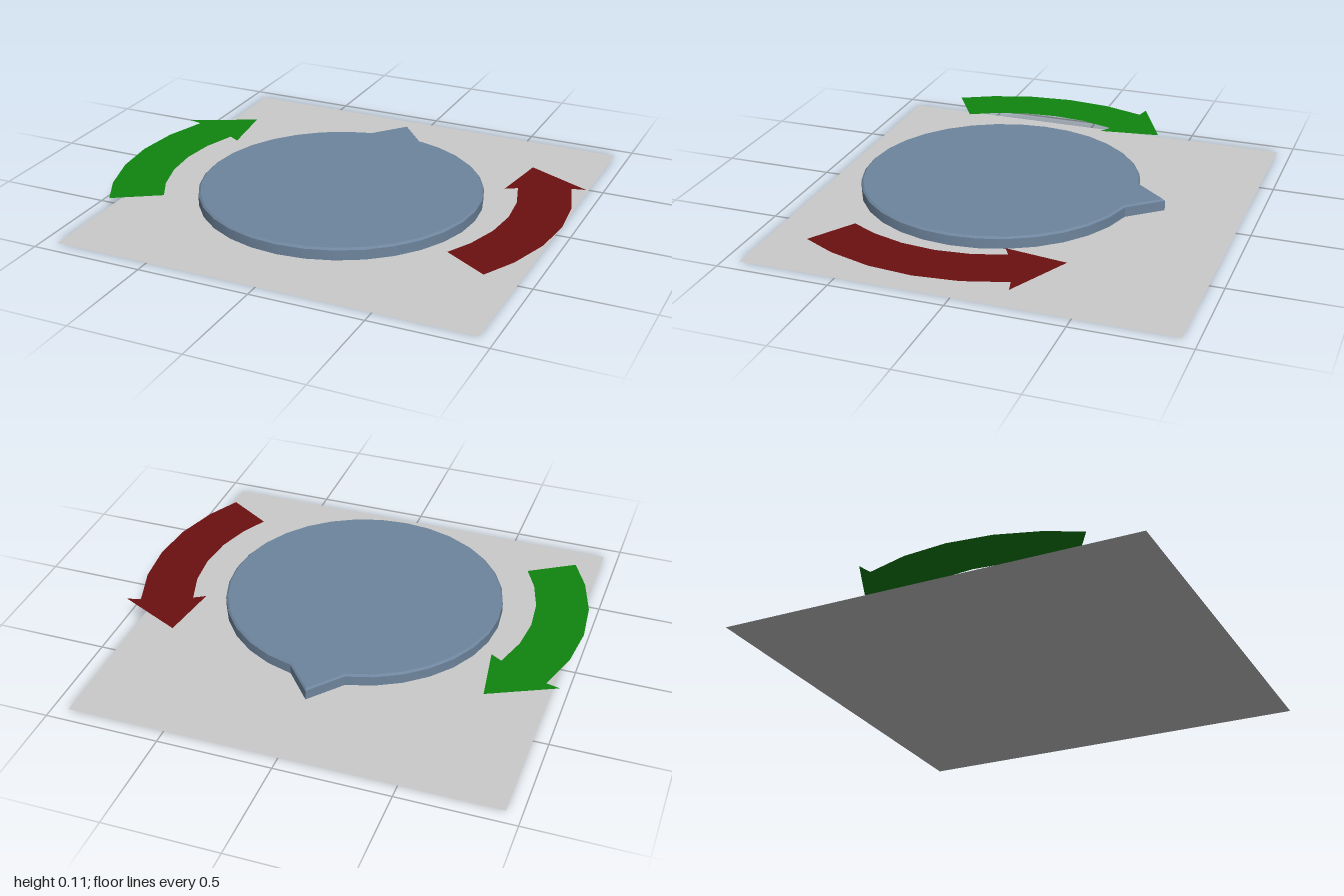
import * as THREE from 'three';
import { toCreasedNormals } from 'three/addons/utils/BufferGeometryUtils.js';

const CENTRE_Z = 0.132;
const STEP = Math.PI / 16; // 32-sided circle

function part(name, geometry, color, side = THREE.FrontSide) {
  const mesh = new THREE.Mesh(geometry, new THREE.MeshStandardMaterial({ color, side }));
  mesh.name = name;
  return mesh;
}

// Disc with a chamfered top edge; the rim corner facing -z is pulled out into a pointer
function discGeometry() {
  const profile = [[0, 0.06], [0.62, 0.06], [0.62, 0.104], [0.611, 0.112], [0, 0.112]];
  const geo = new THREE.LatheGeometry(profile.map(([r, y]) => new THREE.Vector2(r, y)), 32);
  const p = geo.attributes.position;
  for (let i = 0; i < p.count; i++) {
    if (p.getZ(i) < -0.6 && Math.abs(p.getX(i)) < 0.01) p.setZ(i, p.getZ(i) * 1.213);
  }
  return toCreasedNormals(geo, 0.5);
}

// Flat curved arrow; side = 1 on +x, -1 on -x
function arrowGeometry(side) {
  const at = (r, a) => new THREE.Vector2(side * r * Math.cos(a), r * Math.sin(a));
  const angles = [-0.557, -2 * STEP, -STEP, 0, STEP, 2 * STEP];
  const outline = [
    ...angles.map((a) => at(0.999, a)),
    new THREE.Vector2(side * 0.984, 0.397), // outer barb
    new THREE.Vector2(side * 0.697, 0.536), // tip
    new THREE.Vector2(side * 0.658, 0.263), // inner barb
    ...angles.map((a) => at(0.767, a)).reverse(),
  ];
  return new THREE.ShapeGeometry(new THREE.Shape(outline)).rotateX(-Math.PI / 2);
}

export function createModel() {
  const model = new THREE.Group();
  model.name = 'rotationIndicator';

  // Square sheet underneath
  const sheet = new THREE.PlaneGeometry(1.868, 1.868).rotateX(-Math.PI / 2);
  model.add(part('basePlate', sheet, 0xcccccc, THREE.DoubleSide));

  const disc = part('pointerDisc', discGeometry(), 0x6e859d);
  disc.position.z = CENTRE_Z;
  model.add(disc);

  // Direction arrows floating level with the disc top
  for (const [name, side, color] of [['leftArrow', 1, 0x6d1010], ['rightArrow', -1, 0x108510]]) {
    const arrow = part(name, arrowGeometry(side), color, THREE.DoubleSide);
    arrow.position.set(0, 0.108, CENTRE_Z);
    model.add(arrow);
  }
  return model;
}
